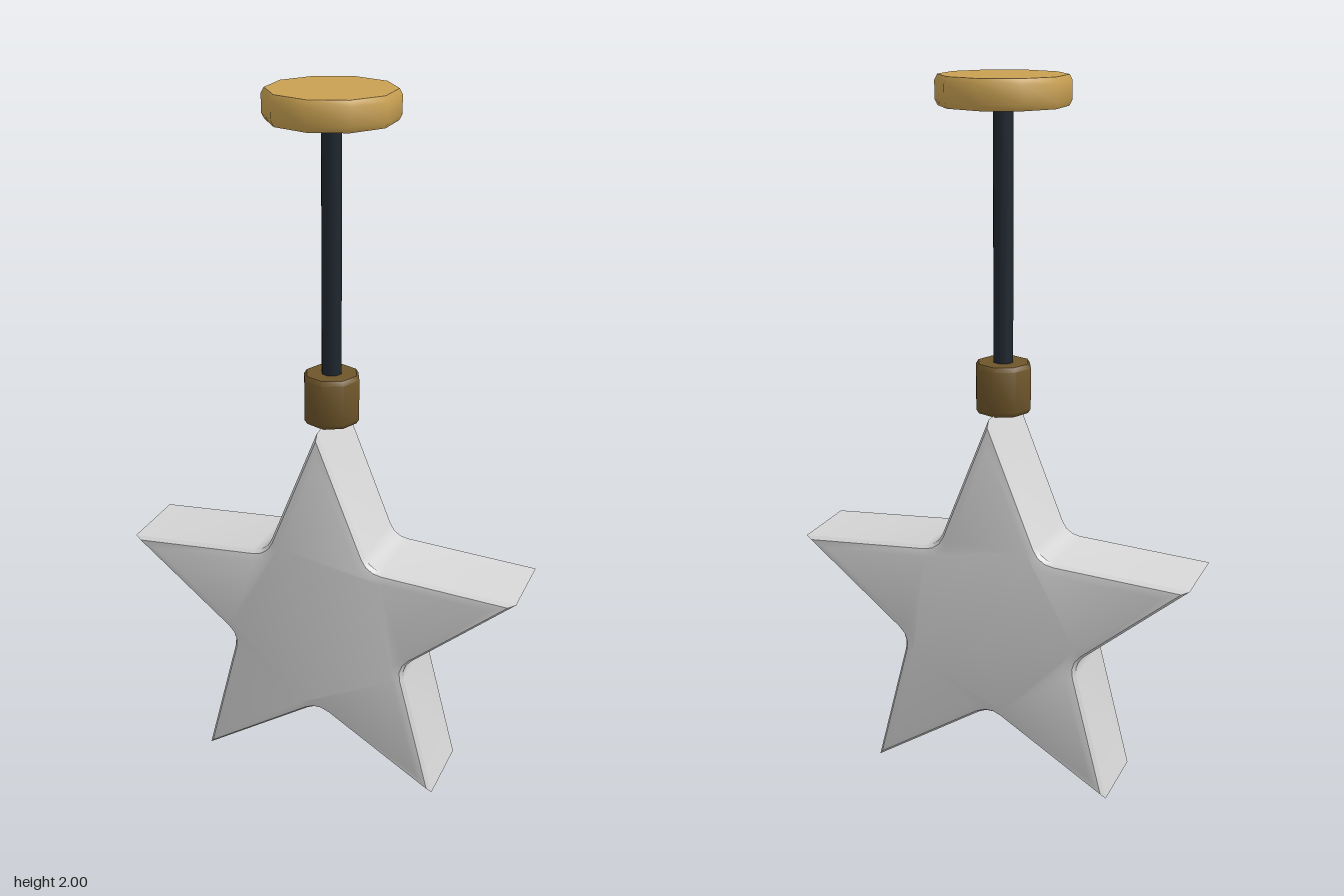
import * as THREE from 'three';
import { toCreasedNormals } from 'three/addons/utils/BufferGeometryUtils.js';

const mat = (name, color) => {
  const m = new THREE.MeshStandardMaterial({ color });
  m.name = name;
  return m;
};

// Five-pointed outline, counter-clockwise: sharp tips, softened inner corners
function starOutline(outer, inner, cut) {
  const corner = (k) => {
    const a = Math.PI / 2 + (k * Math.PI) / 5;
    const r = k % 2 ? inner : outer;
    return new THREE.Vector2(Math.cos(a) * r, Math.sin(a) * r);
  };
  const points = [];
  for (let k = 0; k < 10; k += 2) {
    const tip = corner(k), mid = corner(k + 1), next = corner(k + 2);
    const toward = (p) => mid.clone().add(p.clone().sub(mid).setLength(cut));
    const bend = new THREE.QuadraticBezierCurve(toward(tip), mid, toward(next));
    points.push(tip, ...bend.getPoints(3));
  }
  return points;
}

// Moves every edge of the outline inward by d, with mitred corners
function inset(points, d) {
  const n = points.length;
  const normal = (a, b) => new THREE.Vector2(a.y - b.y, b.x - a.x).normalize();
  return points.map((p, i) => {
    const n1 = normal(points[(i + n - 1) % n], p);
    const n2 = normal(p, points[(i + 1) % n]);
    return p.clone().addScaledVector(n1.clone().add(n2), d / (1 + n1.dot(n2)));
  });
}

// Thick star with a narrow bevel and slightly cushioned faces
function starGeometry() {
  const outline = starOutline(0.605, 0.265, 0.04);
  const n = outline.length;
  const profile = [[0.03, -0.128], [0.008, -0.122], [0, -0.11], [0, 0.11], [0.008, 0.122], [0.03, 0.128]];
  const positions = [], index = [];
  profile.forEach(([d, z]) => inset(outline, d).forEach((p) => positions.push(p.x, p.y, z)));

  for (let j = 0; j < profile.length - 1; j++) {
    for (let i = 0; i < n; i++) {
      const a = j * n + i, b = j * n + ((i + 1) % n);
      index.push(a, b, b + n, a, b + n, a + n);
    }
  }
  const front = (profile.length - 1) * n;
  const faces = THREE.ShapeUtils.triangulateShape(inset(outline, 0.03), []);
  faces.forEach(([a, b, c]) => index.push(front + a, front + b, front + c, c, b, a));

  const g = new THREE.BufferGeometry();
  g.setAttribute('position', new THREE.Float32BufferAttribute(positions, 3));
  g.setIndex(index);
  return toCreasedNormals(g, 0.5);
}

// Short faceted drum with bevelled rims
function drum(radius, y0, y1, sides, bevelIn, bevelUp) {
  const profile = [
    [0, y0], [radius - bevelIn, y0], [radius, y0 + bevelUp],
    [radius, y1 - bevelUp], [radius - bevelIn, y1], [0, y1],
  ].map(([x, y]) => new THREE.Vector2(x, y));
  return toCreasedNormals(new THREE.LatheGeometry(profile, sides), 0.8);
}

export function createModel() {
  const group = new THREE.Group();
  group.name = 'starPendantLamp';
  const add = (name, geometry, material) => {
    const mesh = new THREE.Mesh(geometry, material);
    mesh.name = name;
    group.add(mesh);
    return mesh;
  };

  const gold = mat('gold', 0xc8a052);
  const bronze = mat('bronze', 0x6e552a);
  const black = mat('cordBlack', 0x1e272e);
  const white = mat('shadeGrey', 0xd6d6d6);

  // Ceiling plate, cord and lamp holder
  add('ceilingPlate', drum(0.18, 1.92, 2, 10, 0.008, 0.015), gold);
  add('cord', new THREE.CylinderGeometry(0.029, 0.029, 0.72, 8), black).position.y = 1.57;
  add('lampHolder', drum(0.081, 1.09, 1.23, 8, 0.008, 0.012), bronze);

  // Star shade
  add('starShade', starGeometry(), white).position.y = 0.4895;

  return group;
}
